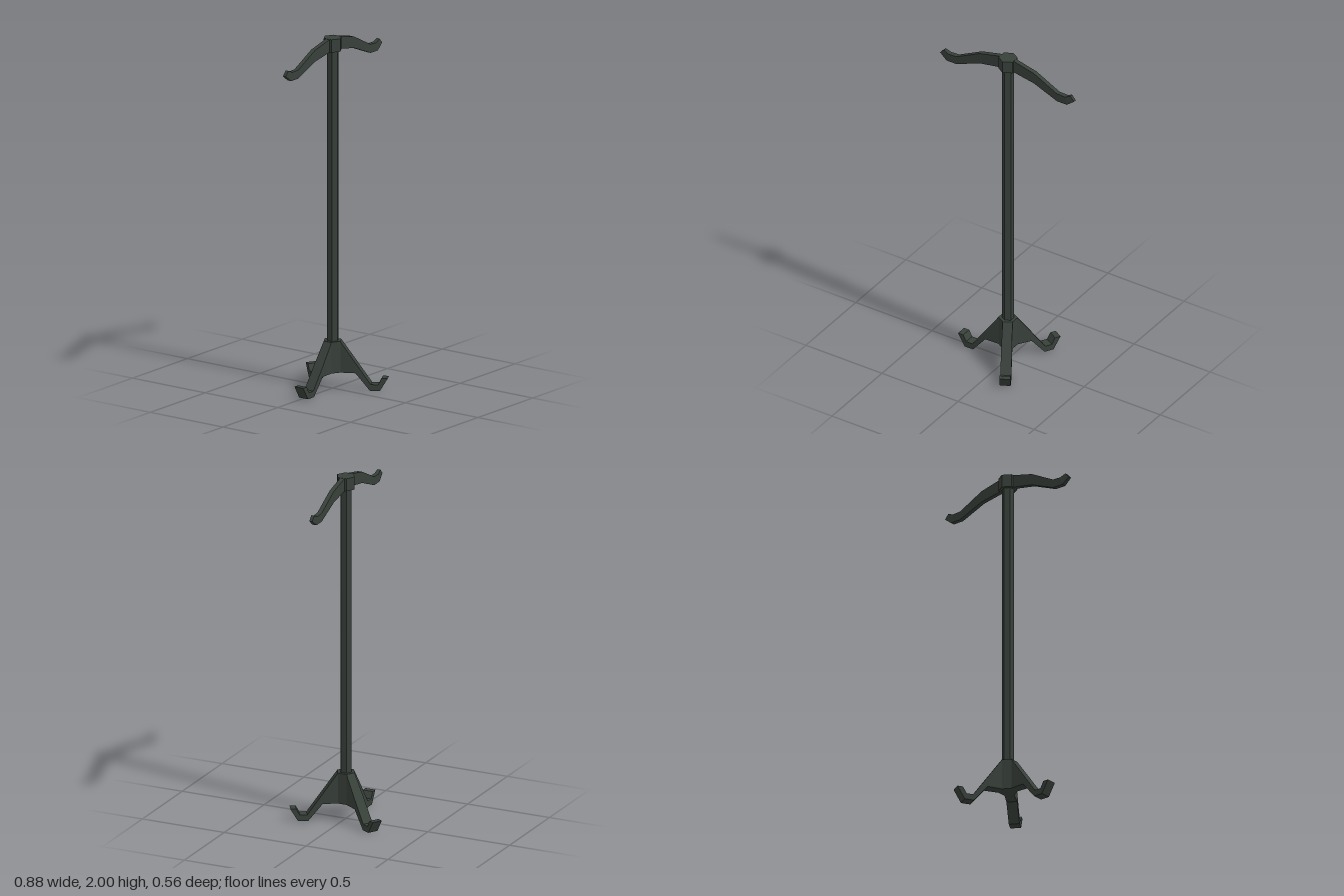
import * as THREE from 'three';

// Flat-sided bar through stations [topX, topY, bottomX, bottomY, halfWidth]
function bar(stations) {
  const loops = stations.map(([tx, ty, bx, by, w]) => [
    [tx, ty, w], [tx, ty, -w], [bx, by, -w], [bx, by, w],
  ]);
  const pos = [];
  const quad = (a, b, c, d) => [a, b, c, a, c, d].forEach((p) => pos.push(...p));
  for (let i = 0; i < loops.length - 1; i++) {
    const a = loops[i], b = loops[i + 1];
    for (let k = 0; k < 4; k++) quad(a[k], b[k], b[(k + 1) % 4], a[(k + 1) % 4]);
  }
  const s = loops[0], e = loops[loops.length - 1];
  quad(s[0], s[1], s[2], s[3]);
  quad(e[0], e[3], e[2], e[1]);
  const g = new THREE.BufferGeometry();
  g.setAttribute('position', new THREE.Float32BufferAttribute(pos, 3));
  g.computeVertexNormals();
  return g;
}

export function createModel() {
  const model = new THREE.Group();
  model.name = 'stand';
  const metal = new THREE.MeshStandardMaterial({ color: 0x38403a, flatShading: true });
  metal.name = 'dark green grey metal';

  const add = (name, geometry, angle = 0) => {
    const mesh = new THREE.Mesh(geometry, metal);
    mesh.name = name;
    mesh.rotation.y = angle;
    model.add(mesh);
  };
  // Upright six-sided prism between two heights
  const hex = (name, r, y0, y1) =>
    add(name, new THREE.CylinderGeometry(r, r, y1 - y0, 6).translate(0, (y0 + y1) / 2, 0));

  // Pole, top cap and base hub
  hex('pole', 0.034, 0.27, 1.935);
  hex('topCap', 0.053, 1.927, 2);
  hex('baseHub', 0.053, 0.097, 0.275);

  // Two drooping arms with upturned, narrowing tips
  const arm = bar([
    [0.04, 2, 0.04, 1.927, 0.013],
    [0.178, 1.967, 0.178, 1.902, 0.013],
    [0.33, 1.889, 0.33, 1.84, 0.013],
    [0.382, 1.887, 0.395, 1.84, 0.013],
    [0.415, 1.902, 0.44, 1.875, 0.009],
  ]);
  add('leftArm', arm);
  add('rightArm', arm, Math.PI);

  // Three sloping legs with hooked feet
  const leg = bar([
    [0.045, 0.275, 0.045, 0.097, 0.0265],
    [0.13, 0.155, 0.13, 0.097, 0.03],
    [0.215, 0.035, 0.21, 0, 0.03],
    [0.255, 0.035, 0.265, 0, 0.03],
    [0.275, 0.072, 0.308, 0.072, 0.03],
  ]);
  add('rightLeg', leg, Math.PI);
  add('backLeg', leg, Math.PI / 3);
  add('frontLeg', leg, -Math.PI / 3);

  return model;
}
